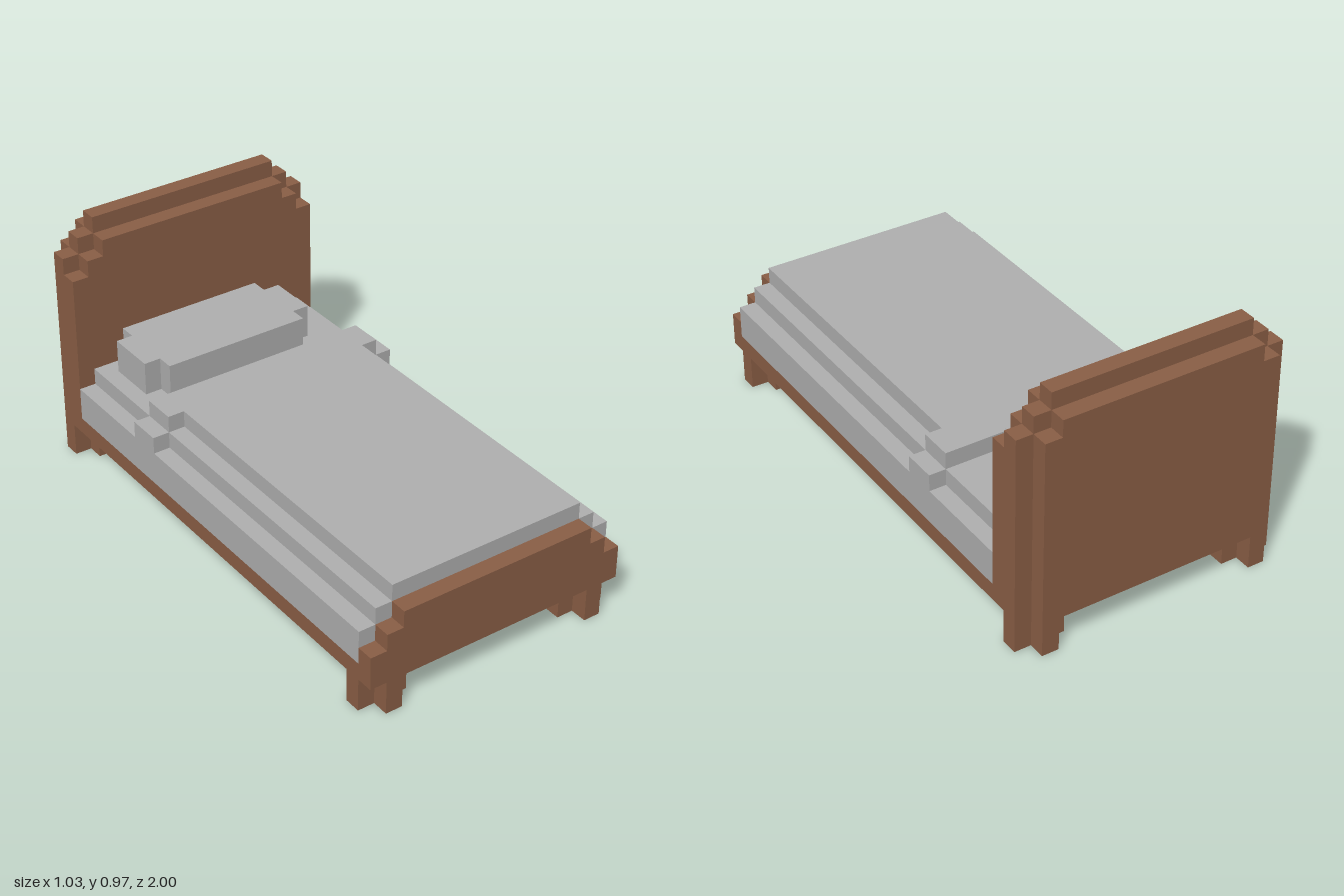
import * as THREE from 'three';

// The bed is laid out on a block grid: 31 blocks long, 16 wide, 15 high
const U = 2 / 31;

const wood = new THREE.MeshStandardMaterial({ color: 0x8b5f46 });
wood.name = 'wood';
const linen = new THREE.MeshStandardMaterial({ color: 0xb0b0b0 });
linen.name = 'linen';

const toShape = (points) => new THREE.Shape(points.map(([x, y]) => new THREE.Vector2(x * U, y * U)));
const extrude = (points, depth) =>
  new THREE.ExtrudeGeometry(toShape(points), { depth: depth * U, bevelEnabled: false });

function addMesh(parent, name, geometry, material) {
  const mesh = new THREE.Mesh(geometry, material);
  mesh.name = name;
  parent.add(mesh);
  return mesh;
}

// Symmetric stair-stepped slab; steps run from the outside in as [half width, top height]
function steppedSlab(parent, name, material, steps, bottom, z0, z1) {
  const right = [[steps[0][0], bottom]];
  steps.forEach(([half, top], i) => {
    right.push([half, top]);
    if (i < steps.length - 1) right.push([steps[i + 1][0], top]);
  });
  const left = right.map(([x, y]) => [-x, y]).reverse();
  const mesh = addMesh(parent, name, extrude([...right, ...left], z1 - z0), material);
  mesh.position.z = z0 * U;
}

// Upright prism with its four corners notched by one block
function notchedPrism(parent, name, material, [x0, x1], [y0, y1], [z0, z1]) {
  const w = (x1 - x0) / 2, d = (z1 - z0) / 2;
  const outline = [
    [w - 1, -d], [w - 1, 1 - d], [w, 1 - d], [w, d - 1], [w - 1, d - 1], [w - 1, d],
    [1 - w, d], [1 - w, d - 1], [-w, d - 1], [-w, 1 - d], [1 - w, 1 - d], [1 - w, -d],
  ];
  const geometry = extrude(outline, y1 - y0).rotateX(-Math.PI / 2);
  const mesh = addMesh(parent, name, geometry, material);
  mesh.position.set(((x0 + x1) / 2) * U, y0 * U, ((z0 + z1) / 2) * U);
}

export function createModel() {
  const bed = new THREE.Group();
  bed.name = 'bed';

  // Wooden frame
  steppedSlab(bed, 'bedBase', wood, [[8, 3]], 2, -12.5, 14.5);
  steppedSlab(bed, 'footboard', wood, [[8, 4], [7, 5], [6, 6]], 2, 14.5, 15.5);

  // Headboard in three layers, tallest in the middle
  const headboard = new THREE.Group();
  headboard.name = 'headboard';
  bed.add(headboard);
  steppedSlab(headboard, 'headboardBack', wood, [[7, 13], [6, 14]], 2, -15.5, -14.5);
  steppedSlab(headboard, 'headboardMiddle', wood, [[8, 13], [7, 14], [6, 15]], 2, -14.5, -13.5);
  steppedSlab(headboard, 'headboardFront', wood, [[8, 12], [7, 13], [6, 14]], 2, -13.5, -12.5);

  // Cross-shaped legs
  for (const [side, x] of [['Left', [5, 8]], ['Right', [-8, -5]]]) {
    notchedPrism(bed, `front${side}Leg`, wood, x, [0, 2], [12.5, 15.5]);
    notchedPrism(bed, `back${side}Leg`, wood, x, [0, 2], [-15.5, -12.5]);
  }

  // Bedding: mattress at the head, folded blanket edge, then blanket
  steppedSlab(bed, 'mattress', linen, [[8, 5], [7, 6]], 3, -12.5, -6.5);
  steppedSlab(bed, 'blanketFold', linen, [[8, 6], [7, 7]], 3, -6.5, -4.5);
  steppedSlab(bed, 'blanket', linen, [[8, 5], [7, 6], [6, 7]], 3, -4.5, 14.5);
  notchedPrism(bed, 'pillow', linen, [-6, 5], [6, 8], [-12.5, -7.5]);

  return bed;
}
